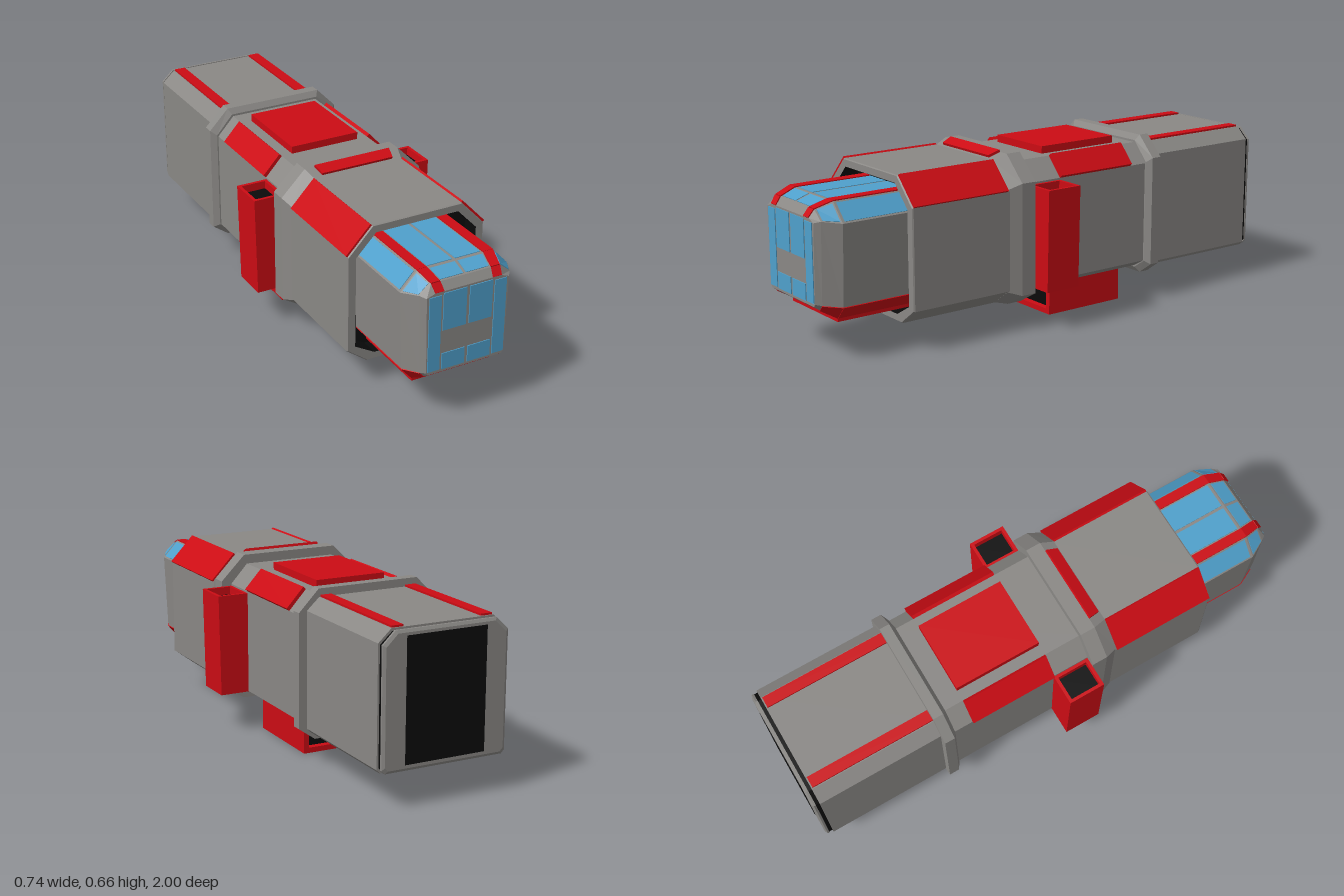
import * as THREE from 'three';

const mat = (color) => new THREE.MeshStandardMaterial({ color, flatShading: true });

// Eight-sided section, counter-clockwise seen from the front.
// Sides: 0 lower-left chamfer, 1 left, 2 upper-left chamfer, 3 roof, 4..6 mirrored, 7 floor
function ring(z, w, y0, y1, tx, ty, bx, by, wb = w) {
  return [[bx, y0], [wb, by], [w, ty], [tx, y1], [-tx, y1], [-w, ty], [-wb, by], [-bx, y0]]
    .map(([x, y]) => new THREE.Vector3(x, y, z));
}

function fromTriangles(points) {
  const g = new THREE.BufferGeometry().setFromPoints(points);
  g.computeVertexNormals();
  return g;
}

// Skin through rings listed from back to front, with optional end caps
function loft(rings, capBack = true, capFront = true) {
  const pts = [];
  for (let i = 0; i < rings.length - 1; i++) {
    const A = rings[i], B = rings[i + 1];
    A.forEach((a, j) => {
      const k = (j + 1) % A.length;
      pts.push(a, A[k], B[k], a, B[k], B[j]);
    });
  }
  const first = rings[0], last = rings[rings.length - 1];
  for (let j = 1; j < first.length - 1; j++) {
    if (capBack) pts.push(first[0], first[j + 1], first[j]);
    if (capFront) pts.push(last[0], last[j], last[j + 1]);
  }
  return fromTriangles(pts);
}

// Thin raised plate standing on four counter-clockwise corners
function slab(c, t) {
  const n = c[1].clone().sub(c[0]).cross(c[2].clone().sub(c[0])).normalize();
  const low = c.map((p) => p.clone().addScaledVector(n, -0.002));
  const top = c.map((p) => p.clone().addScaledVector(n, t));
  return loft([low, top]);
}

// Plate on side j between two rings; u runs along the edge, v from back to front
function panel(A, B, j, u0, u1, v0, v1, t) {
  const k = (j + 1) % 8;
  const at = (u, v) => A[j].clone().lerp(A[k], u).lerp(B[j].clone().lerp(B[k], u), v);
  return slab([at(u0, v0), at(u1, v0), at(u1, v1), at(u0, v1)], t);
}

function rectPath(x0, y0, x1, y1, Type = THREE.Path) {
  return new Type([[x0, y0], [x1, y0], [x1, y1], [x0, y1]].map(([x, y]) => new THREE.Vector2(x, y)));
}

export function createModel() {
  const model = new THREE.Group();
  const grey = mat(0x8a8885), red = mat(0xcc0c14), blue = mat(0x4fa0cc), black = mat(0x0b0b0b);
  const add = (name, geometry, material) => {
    const m = new THREE.Mesh(geometry, material);
    m.name = name;
    model.add(m);
    return m;
  };
  const box = (name, material, x0, x1, y0, y1, z0, z1) => add(name,
    new THREE.BoxGeometry(x1 - x0, y1 - y0, z1 - z0)
      .translate((x0 + x1) / 2, (y0 + y1) / 2, (z0 + z1) / 2), material);

  // Rear hull, black seam, end frame and door
  const rear = [-0.97, -0.46].map((z) => ring(z, 0.247, 0.13, 0.62, 0.198, 0.575, 0.235, 0.143));
  add('rearHull', loft(rear), grey);
  add('rearSeam', loft([-0.986, -0.969].map((z) => ring(z, 0.24, 0.137, 0.61, 0.195, 0.57, 0.228, 0.15))), black);
  add('rearFrame', loft([
    ring(-0.998, 0.232, 0.143, 0.607, 0.188, 0.565, 0.22, 0.156),
    ring(-0.992, 0.242, 0.133, 0.617, 0.195, 0.572, 0.23, 0.146),
    ring(-0.984, 0.242, 0.133, 0.617, 0.195, 0.572, 0.23, 0.146)]), grey);
  box('rearDoor', black, -0.155, 0.155, 0.155, 0.597, -1, -0.99);
  for (const [u0, u1] of [[0.01, 0.12], [0.88, 0.99]])
    add('rearRoofRail', panel(rear[0], rear[1], 3, u0, u1, 0.01, 0.98, 0.007), red);

  // Collar between rear and middle hull
  add('rearCollar', loft([
    ring(-0.475, 0.278, 0.1, 0.65, 0.2, 0.57, 0.215, 0.145),
    ring(-0.435, 0.278, 0.1, 0.65, 0.2, 0.57, 0.215, 0.145),
    ring(-0.42, 0.255, 0.12, 0.628, 0.188, 0.552, 0.2, 0.157)]), grey);

  // Middle hull with roof plate and shoulder plates
  const mid = [-0.43, 0.16].map((z) => ring(z, 0.25, 0.125, 0.62, 0.183, 0.547, 0.195, 0.157));
  add('middleHull', loft(mid), grey);
  box('roofPlate', red, -0.14, 0.14, 0.615, 0.648, -0.345, 0);
  for (const j of [2, 4])
    add('shoulderPlate', panel(mid[0], mid[1], j, 0, 1, 0.144, 0.729, 0.014), red);

  // Front collar with a sloped front edge and a roof bar
  const collar = [
    ring(0.145, 0.29, 0.085, 0.655, 0.195, 0.56, 0.2, 0.137),
    ring(0.205, 0.29, 0.085, 0.655, 0.195, 0.56, 0.2, 0.137),
    ring(0.26, 0.272, 0.1, 0.634, 0.18, 0.54, 0.195, 0.157)];
  add('frontCollar', loft(collar), grey);
  add('collarBar', panel(collar[1], collar[2], 3, 0.1, 0.9, 0, 0.8, 0.01), red);

  // Front hull: open mouth with black lining
  const front = [0.25, 0.665].map((z) => ring(z, 0.275, 0.1, 0.635, 0.18, 0.535, 0.195, 0.16));
  const lip = ring(0.67, 0.243, 0.127, 0.606, 0.165, 0.525, 0.165, 0.172);
  add('frontHull', loft([...front, ring(0.67, 0.272, 0.103, 0.632, 0.178, 0.533, 0.193, 0.162), lip], true, false), grey);
  const lining = lip.map((p) => p.clone().setZ(0.6));
  add('mouthLining', loft([lip, lining], false, true), black);
  for (const j of [2, 4])
    add('frontShoulderPlate', panel(front[0], front[1], j, 0, 1, 0.02, 1, 0.008), red);

  // Cockpit shell
  const cab = [
    ring(0.59, 0.213, 0.157, 0.572, 0.15, 0.505, 0.158, 0.205, 0.2),
    ring(0.91, 0.213, 0.157, 0.572, 0.15, 0.505, 0.158, 0.205, 0.2),
    ring(0.975, 0.177, 0.195, 0.55, 0.135, 0.515, 0.15, 0.215, 0.168),
    ring(0.996, 0.162, 0.21, 0.522, 0.13, 0.51, 0.148, 0.22, 0.155)];
  add('cockpit', loft(cab), grey);

  // Roof windows, roof strips, chamfer windows and red chin corners
  for (let i = 0; i < 3; i++) {
    const [A, B] = [cab[i], cab[i + 1]];
    for (const [u0, u1] of [[0, 0.13], [0.87, 1]])
      add('cockpitStrip', panel(A, B, 3, u0, u1, 0, 1, 0.004), red);
    if (i === 2) continue;
    const v0 = i ? 0.08 : 0, v1 = i ? 0.9 : 0.97;
    for (const [u0, u1] of [[0.15, 0.48], [0.52, 0.85]])
      add('roofWindow', panel(A, B, 3, u0, u1, v0, v1, 0.002), blue);
    for (const j of [2, 4])
      add('cornerWindow', panel(A, B, j, 0.08, 0.92, v0, v1, 0.002), blue);
    for (const j of [0, 6])
      add('chinCorner', panel(A, B, j, 0, 1, 0, 1, 0.003), red);
  }
  add('chinSkid', panel(cab[0], cab[1], 7, 0, 1, 0, 1, 0.015), red);

  // Front windows, mirrored about the centre post
  for (const s of [-1, 1]) {
    for (const [xa, xb, y0, y1] of [[0.006, 0.097, 0.372, 0.515], [0.006, 0.097, 0.22, 0.282], [0.105, 0.152, 0.222, 0.51]])
      box('frontWindow', blue, Math.min(s * xa, s * xb), Math.max(s * xa, s * xb), y0, y1, 0.99, 0.999);
  }

  // Side pods: upright ducts open at both ends, leaning out slightly
  for (const s of [-1, 1]) {
    const shape = rectPath(-0.06, -0.0725, 0.06, 0.0725, THREE.Shape);
    shape.holes.push(rectPath(-0.048, -0.06, 0.048, 0.06));
    const duct = new THREE.ExtrudeGeometry(shape, { depth: 0.385, bevelEnabled: false })
      .rotateX(-Math.PI / 2).translate(0, 0.155, 0);
    const core = new THREE.BoxGeometry(0.1, 0.325, 0.124).translate(0, 0.3475, 0);
    for (const g of [duct, core]) {
      const p = g.attributes.position;
      for (let i = 0; i < p.count; i++)
        p.setX(i, p.getX(i) + s * (0.303 + 0.018 * (p.getY(i) - 0.155)));
      g.translate(0, 0, 0.0725);
      g.computeVertexNormals();
    }
    add('sidePod', duct, red);
    add('sidePodCore', core, black);
  }

  // Belly duct: twin channels open front and back
  const belly = rectPath(-0.19, 0, 0.19, 0.128, THREE.Shape);
  for (const x of [-0.0935, 0.0935]) {
    belly.holes.push(rectPath(x - 0.077, 0.02, x + 0.077, 0.108));
    box('bellyCore', black, x - 0.078, x + 0.078, 0.019, 0.109, -0.32, -0.025);
  }
  add('bellyDuct', new THREE.ExtrudeGeometry(belly, { depth: 0.345, bevelEnabled: false }).translate(0, 0, -0.345), red);

  return model;
}
